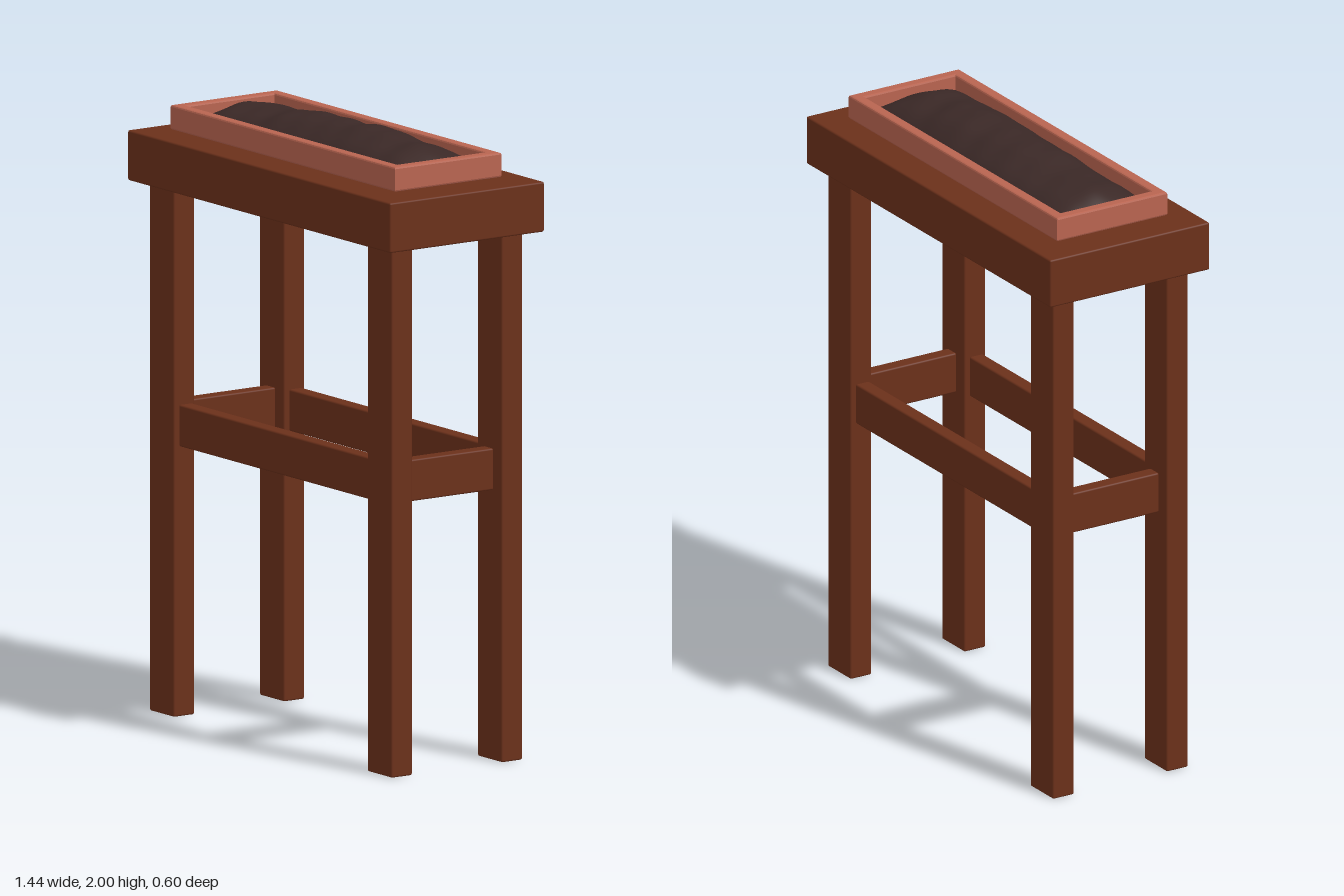
import * as THREE from 'three';
import { RoundedBoxGeometry } from 'three/addons/geometries/RoundedBoxGeometry.js';

const wood = new THREE.MeshStandardMaterial({ color: 0x6b301a });
const clay = new THREE.MeshStandardMaterial({ color: 0xb86450 });
const earth = new THREE.MeshStandardMaterial({ color: 0x3a2826 });

// Softly edged box, placed by its centre
function block(name, material, size, position) {
  const mesh = new THREE.Mesh(new RoundedBoxGeometry(...size, 2, 0.006), material);
  mesh.name = name;
  mesh.position.set(...position);
  return mesh;
}

function rectangle(path, x, z) {
  path.moveTo(-x, -z);
  path.lineTo(x, -z);
  path.lineTo(x, z);
  path.lineTo(-x, z);
  path.closePath();
  return path;
}

// Open rectangular rim with a small bevel, extruded upwards
function trayRim() {
  const bevel = 0.006;
  const shape = rectangle(new THREE.Shape(), 0.615 - bevel, 0.207 - bevel);
  shape.holes.push(rectangle(new THREE.Path(), 0.577 + bevel, 0.17 + bevel));
  const geometry = new THREE.ExtrudeGeometry(shape, {
    depth: 0.08 - 2 * bevel, bevelEnabled: true,
    bevelSize: bevel, bevelThickness: bevel, bevelSegments: 2,
  });
  geometry.rotateX(-Math.PI / 2);
  geometry.translate(0, 1.882 + bevel, 0);
  const mesh = new THREE.Mesh(geometry, clay);
  mesh.name = 'trayRim';
  return mesh;
}

// Uneven mound: a crest line along x that falls away towards the rim
function soilMound() {
  const halfX = 0.578, halfZ = 0.171, edge = 1.91;
  const heights = [1.955, 1.972, 1.972, 1.974, 1.993, 1.992, 1.991, 2.0, 1.993, 1.982, 1.978, 1.955];
  const crest = new THREE.SplineCurve(heights.map((h, i) => new THREE.Vector2(i, h)));
  const geometry = new THREE.PlaneGeometry(2 * halfX, 2 * halfZ, 72, 28);
  geometry.rotateX(-Math.PI / 2);
  const p = geometry.attributes.position;
  for (let i = 0; i < p.count; i++) {
    const x = p.getX(i), z = p.getZ(i);
    const u = Math.min(1, Math.abs(x) / halfX), v = Math.min(1, Math.abs(z) / halfZ);
    const along = THREE.MathUtils.clamp((x / halfX + 1) / 2, 0, 1);
    const top = crest.getPoint(along).y;
    const fall = Math.pow(1 - v * v, 0.75) * Math.pow(1 - u ** 14, 0.8);
    const lumps = 0.004 * Math.sin(17 * x + 23 * z) * Math.sin(31 * z - 9 * x)
      + 0.002 * Math.sin(47 * x - 19 * z);
    p.setY(i, Math.min(2, edge + (top - edge + lumps) * fall));
  }
  geometry.computeVertexNormals();
  const mesh = new THREE.Mesh(geometry, earth);
  mesh.name = 'soil';
  return mesh;
}

export function createModel() {
  const model = new THREE.Group();
  model.name = 'planterStand';

  // Table slab
  model.add(block('tableTop', wood, [1.44, 0.162, 0.6], [0, 1.793, 0]));

  // Legs and the stretchers between them
  for (const s of [-1, 1]) {
    for (const t of [-1, 1]) {
      model.add(block('leg', wood, [0.135, 1.708, 0.08], [s * 0.597, 0.854, t * 0.214]));
    }
    model.add(block('longStretcher', wood, [1.05, 0.135, 0.05], [0, 0.943, s * 0.214]));
    model.add(block('sideStretcher', wood, [0.05, 0.135, 0.344], [s * 0.597, 0.943, 0]));
  }

  // Tray with its floor and filling
  const tray = new THREE.Group();
  tray.name = 'tray';
  tray.add(trayRim());
  tray.add(block('trayFloor', clay, [1.18, 0.02, 0.36], [0, 1.893, 0]));
  tray.add(soilMound());
  model.add(tray);

  return model;
}
